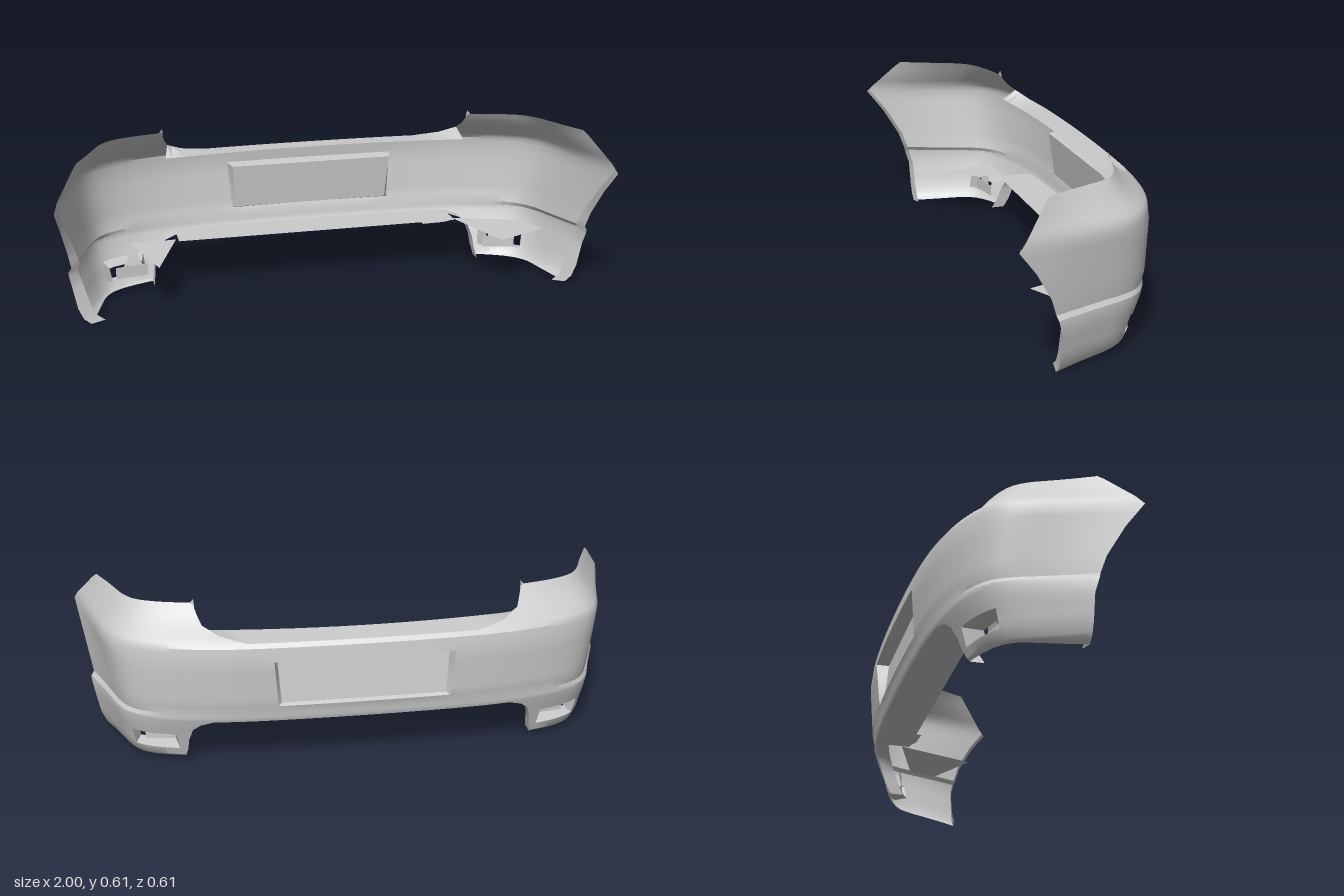
import * as THREE from 'three';
import { toCreasedNormals } from 'three/addons/utils/BufferGeometryUtils.js';

const material = new THREE.MeshStandardMaterial({ color: 0xcccccc, side: THREE.DoubleSide });
const V = (x, y, z) => new THREE.Vector3(x, y, z);

// Linear lookup in a table of [key, value] pairs
function look(table, k) {
  if (k <= table[0][0]) return table[0][1];
  for (let i = 1; i < table.length; i++) {
    const [a, va] = table[i - 1], [b, vb] = table[i];
    if (k <= b) return va + (vb - va) * (k - a) / (b - a);
  }
  return table[table.length - 1][1];
}

// Smooth lookup (Hermite with finite-difference tangents)
function smoothLook(t, k) {
  let i = 0;
  while (i < t.length - 2 && k > t[i + 1][0]) i++;
  const slope = (j) => {
    if (j === 0) return 0;
    const a = t[j - 1], b = t[Math.min(j + 1, t.length - 1)];
    return (b[1] - a[1]) / (b[0] - a[0]);
  };
  const h = t[i + 1][0] - t[i][0], u = (k - t[i][0]) / h, u2 = u * u, u3 = u2 * u;
  return (2 * u3 - 3 * u2 + 1) * t[i][1] + (u3 - 2 * u2 + u) * h * slope(i)
    + (3 * u2 - 2 * u3) * t[i + 1][1] + (u3 - u2) * h * slope(i + 1);
}

// Plan wrap: lateral fraction -> depth fraction
const WRAP = [[0, 0], [0.3, 0.01], [0.5, 0.035], [0.65, 0.085], [0.78, 0.17], [0.86, 0.28],
  [0.9, 0.42], [0.93, 0.6], [0.96, 0.78], [1, 1]];
// By height: depth at the middle, half width and depth at the wheel arch
const Z_BACK = [[0, -0.19], [0.02, -0.205], [0.03, -0.218], [0.06, -0.228], [0.125, -0.25], [0.19, -0.275],
  [0.205, -0.28], [0.22, -0.28], [0.25, -0.29], [0.425, -0.305], [0.475, -0.299], [0.49, -0.287],
  [0.508, -0.258], [0.535, -0.225], [0.56, -0.195], [0.597, -0.167]];
const X_END = [[0, 0.885], [0.02, 0.91], [0.06, 0.928], [0.19, 0.955], [0.205, 0.955], [0.22, 0.945],
  [0.28, 0.957], [0.38, 0.98], [0.46, 1], [0.49, 0.988], [0.58, 0.925], [0.597, 0.91]];
const Z_END = [[0, 0.145], [0.15, 0.147], [0.205, 0.162], [0.28, 0.187], [0.38, 0.245], [0.46, 0.306],
  [0.58, 0.2], [0.597, 0.183]];
// By lateral fraction: upper and lower edges
const TOP = [[0.41, 0.49], [0.51, 0.508], [0.58, 0.535], [0.605, 0.56], [0.637, 0.597]];
const BOTTOM = [[0.555, 0.187], [0.605, 0.172], [0.637, 0.15], [0.66, 0.1], [0.67, 0.06], [0.69, 0.022],
  [0.9, 0.016], [1, 0]];

const HALF = [0.08, 0.16, 0.24, 0.32, 0.36, 0.41, 0.46, 0.51, 0.555, 0.58, 0.605, 0.62, 0.637, 0.66, 0.67,
  0.69, 0.7, 0.73, 0.76, 0.79, 0.82, 0.84, 0.865, 0.88, 0.89, 0.9, 0.91, 0.92, 0.93, 0.945, 0.96, 0.975, 0.99, 1];
const COLS = [...HALF.map((p) => -p).reverse(), 0, ...HALF];
const ROWS = [0, 0.02, 0.03, 0.06, 0.09, 0.125, 0.15, 0.19, 0.205, 0.22, 0.25, 0.28, 0.34, 0.38, 0.425,
  0.46, 0.475, 0.49, 0.508, 0.535, 0.56, 0.58, 0.597];

function skin(p, y) {
  const a = Math.abs(p), zb = look(Z_BACK, y);
  return V(p * look(X_END, y), y, zb + (look(Z_END, y) - zb) * smoothLook(WRAP, a));
}
const topAt = (p) => look(TOP, Math.abs(p));
const bottomAt = (p) => look(BOTTOM, Math.abs(p));

// Surface through rows of points; skip(row, col) leaves a cell open
function sheet(name, rows, crease = 0.5, skip = () => false) {
  const pos = [], tri = new THREE.Triangle();
  const add = (a, b, c) => {
    if (tri.set(a, b, c).getArea() > 1e-8) pos.push(...a.toArray(), ...b.toArray(), ...c.toArray());
  };
  for (let r = 0; r < rows.length - 1; r++) {
    for (let c = 0; c < rows[r].length - 1; c++) {
      if (skip(r, c)) continue;
      add(rows[r][c], rows[r + 1][c], rows[r + 1][c + 1]);
      add(rows[r][c], rows[r + 1][c + 1], rows[r][c + 1]);
    }
  }
  const g = new THREE.BufferGeometry();
  g.setAttribute('position', new THREE.Float32BufferAttribute(pos, 3));
  const mesh = new THREE.Mesh(toCreasedNormals(g, crease), material);
  mesh.name = name;
  return mesh;
}

// Flat polygon drawn as a fan
const panel = (name, pts) => sheet(name, [pts.map(() => pts[0]), pts], 0.1);

const PLATE = { p0: -0.32, p1: 0.32, y0: 0.25, y1: 0.425 };
const LAMP = { p0: 0.7, p1: 0.865, y0: 0.06, y1: 0.125 };
const inside = (o, p, y) => p > o.p0 && p < o.p1 && y > o.y0 && y < o.y1;

// Closed loop of skin points round an opening
function outline(o, side = 1) {
  const ps = COLS.filter((p) => p >= o.p0 && p <= o.p1), ys = ROWS.filter((y) => y >= o.y0 && y <= o.y1);
  return [...ps.map((p) => [p, o.y0]), ...ys.map((y) => [o.p1, y]), ...[...ps].reverse().map((p) => [p, o.y1]),
    ...[...ys].reverse().map((y) => [o.p0, y])].map(([p, y]) => skin(p * side, y));
}

export function createModel() {
  const group = new THREE.Group();

  // Outer skin with openings for the plate and the two lamps
  const rows = ROWS.map((y) => COLS.map((p) => skin(p, Math.min(Math.max(y, bottomAt(p)), topAt(p)))));
  group.add(sheet('bumperSkin', rows, 0.5, (r, c) => {
    const p = (COLS[c] + COLS[c + 1]) / 2, y = (ROWS[r] + ROWS[r + 1]) / 2;
    return inside(PLATE, p, y) || inside(LAMP, Math.abs(p), y);
  }));

  // Plate recess, deeper at its top
  const rim = outline(PLATE);
  const floorZ = (y) => -0.272 + 0.02 * (y - 0.25) / 0.175;
  const floor = rim.map((v) => {
    const y = 0.337 + (v.y - 0.337) * 0.93;
    return V(v.x * 0.96, y, floorZ(y));
  });
  group.add(sheet('plateRecess', [rim, floor, rim.map(() => V(0, 0.337, floorZ(0.337)))]));

  // Ledge along the middle of the top edge
  const mid = COLS.filter((p) => Math.abs(p) <= 0.58);
  group.add(sheet('topLedge', [
    mid.map((p) => skin(p, topAt(p))),
    mid.map((p) => V(p * 0.98, 0.497, -0.19 + 0.12 * p * p)),
  ]));

  // Flange under the middle
  const low = COLS.filter((p) => Math.abs(p) <= 0.555);
  group.add(sheet('lowerFlange', [
    low.map((p) => skin(p, 0.187)),
    low.map((p) => V(p * 0.96, 0.187, -0.12)),
  ]));
  group.add(panel('flangeTab', [V(0.4, 0.187, -0.12), V(0.4, 0.187, -0.1), V(0.48, 0.187, -0.104), V(0.52, 0.187, -0.12)]));

  for (const s of [1, -1]) {
    const side = new THREE.Group();
    side.name = s > 0 ? 'leftCorner' : 'rightCorner';

    // Lamp opening walls and the bracket behind them
    const hole = outline(LAMP, s);
    side.add(sheet('lampRecess', [hole, hole.map((v) => V(
      s * (0.715 + (Math.abs(v.x) - 0.715) * 0.8), 0.09 + (v.y - 0.09) * 0.75, v.z * 0.7 + 0.01))]));
    const q = (x, y, z) => V(s * x, y, z);
    side.add(panel('lampBracket', [q(0.65, 0.065, -0.125), q(0.77, 0.065, -0.1), q(0.77, 0.11, -0.1), q(0.65, 0.11, -0.125)]));
    side.add(panel('bracketRib', [q(0.67, 0.11, -0.12), q(0.74, 0.11, -0.107), q(0.7, 0.175, -0.13)]));

    // Lip along the cut beside the lower flange
    const cut = HALF.filter((p) => p >= 0.555 && p <= 0.69).map((p) => skin(p * s, bottomAt(p)));
    side.add(sheet('cornerLip', [cut, cut.map((v) => V(v.x, v.y, v.z + 0.05))], 0.8));

    // Return flange round the wheel arch
    const arch = ROWS.filter((y) => y <= 0.46).map((y) => skin(s, y));
    side.add(sheet('archFlange', [arch, arch.map((v) => V(
      v.x - s * (0.05 - 0.085 * v.y), v.y + 0.008, v.z - 0.008))], 0.8));

    // Small tab at the top of the tailgate cut
    side.add(panel('topTab', [q(0.575, 0.585, -0.15), q(0.59, 0.597, -0.139), q(0.578, 0.612, -0.143)]));
    group.add(side);
  }

  // Horizontal fins inside the corners
  group.add(panel('leftFin', [V(0.53, 0.185, -0.15), V(0.63, 0.185, 0.145), V(0.82, 0.185, 0.05), V(0.79, 0.185, -0.06)]));
  group.add(panel('rightFin', [V(-0.71, 0.185, -0.14), V(-0.64, 0.185, 0.14), V(-0.54, 0.185, -0.15)]));
  return group;
}
